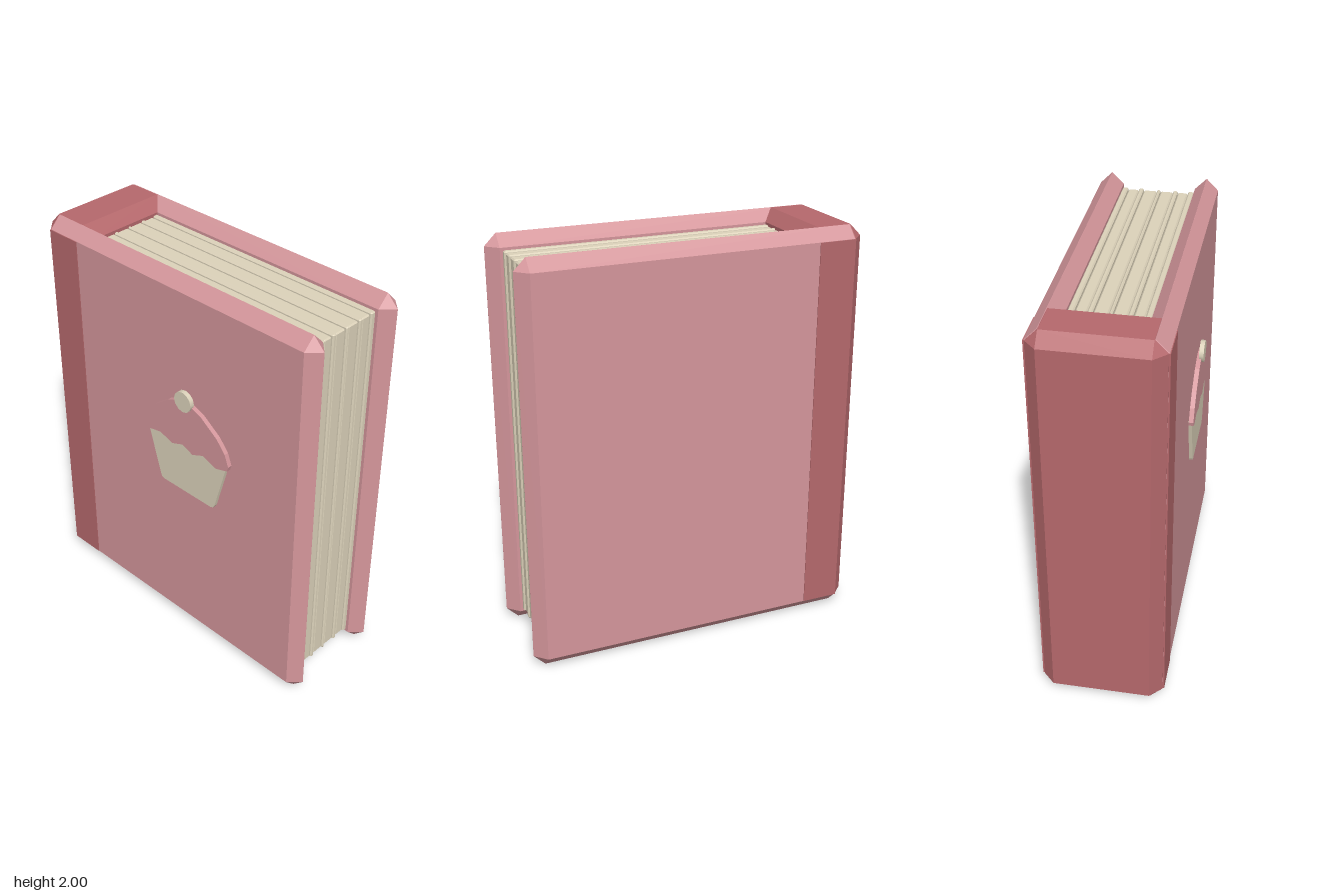
import * as THREE from 'three';
import { ConvexGeometry } from 'three/addons/geometries/ConvexGeometry.js';

const pink = new THREE.MeshStandardMaterial({ color: 0xd4969b });
pink.name = 'pink cover';
const red = new THREE.MeshStandardMaterial({ color: 0xb5686c });
red.name = 'red spine';
const cream = new THREE.MeshStandardMaterial({ color: 0xdcd2ba });
cream.name = 'cream paper';

// Box between two corners with every edge cut at 45 degrees by c
function chamferBox([x0, y0, z0], [x1, y1, z1], c) {
  const centre = new THREE.Vector3(x0 + x1, y0 + y1, z0 + z1).multiplyScalar(0.5);
  const half = new THREE.Vector3(x1 - x0, y1 - y0, z1 - z0).multiplyScalar(0.5);
  const points = [];
  for (const sx of [-1, 1]) for (const sy of [-1, 1]) for (const sz of [-1, 1]) {
    for (let face = 0; face < 3; face++) {
      const p = half.clone().subScalar(c);
      p.setComponent(face, half.getComponent(face));
      points.push(p.multiply(new THREE.Vector3(sx, sy, sz)).add(centre));
    }
  }
  return new ConvexGeometry(points);
}

// Flat outline plate between two depths
function plate(outline, z0, z1) {
  const shape = new THREE.Shape(outline.map(([x, y]) => new THREE.Vector2(x, y)));
  return new THREE.ExtrudeGeometry(shape, { depth: z1 - z0, bevelEnabled: false }).translate(0, 0, z0);
}

export function createModel() {
  const book = new THREE.Group();
  book.name = 'book';
  const add = (name, geometry, material) => {
    const mesh = new THREE.Mesh(geometry, material);
    mesh.name = name;
    book.add(mesh);
    return mesh;
  };

  // Covers, with edges cut to a ridge
  add('frontCover', chamferBox([-0.833, 0, 0.162], [0.837, 2, 0.277], 0.057), pink);
  add('backCover', chamferBox([-0.833, 0, -0.312], [0.837, 2, -0.197], 0.057), pink);

  // Spine and the strips where it wraps onto the covers
  add('spine', chamferBox([-0.84, 0, -0.308], [-0.555, 2, 0.273], 0.057), red);
  for (const [name, z] of [['frontSpineStrip', 0.277], ['backSpineStrip', -0.312]]) {
    add(name, new THREE.BoxGeometry(0.185, 1.884, 0.007), red).position.set(-0.688, 1, z);
  }

  // Page bundles: thick ones alternate with thin ones that stick out a little
  const edges = [-0.2, -0.169, -0.116, -0.091, -0.025, -0.007, 0.056, 0.08, 0.13, 0.162];
  for (let i = 0; i < edges.length - 1; i++) {
    const out = i % 2 ? 0 : 0.006;
    add('pages' + (i + 1), chamferBox(
      [-0.6, 0.077 - out, edges[i] + 0.001],
      [0.762 + out, 1.926 + out, edges[i + 1] - 0.001], 0.006), cream);
  }

  // Cupcake emblem
  add('cupcakeCase', plate([
    [-0.127, 1.165], [-0.052, 0.905], [-0.045, 0.89], [-0.03, 0.884],
    [0.283, 0.884], [0.298, 0.89], [0.307, 0.905], [0.381, 1.165],
  ], 0.277, 0.294), cream);
  add('cupcakeIcing', plate([
    [-0.148, 1.165], [-0.11, 1.149], [-0.037, 1.164], [0.042, 1.138], [0.11, 1.164],
    [0.175, 1.138], [0.243, 1.168], [0.323, 1.138], [0.395, 1.16], [0.402, 1.185],
    [0.38, 1.245], [0.33, 1.305], [0.233, 1.375], [0.18, 1.397], [0.127, 1.408],
    [0.075, 1.397], [0.022, 1.375], [-0.07, 1.305], [-0.122, 1.245], [-0.153, 1.185],
  ], 0.282, 0.304), pink);
  const cherry = add('cherry', new THREE.CylinderGeometry(0.053, 0.053, 0.022, 12).rotateX(Math.PI / 2), cream);
  cherry.position.set(0.125, 1.413, 0.304);

  return book;
}
